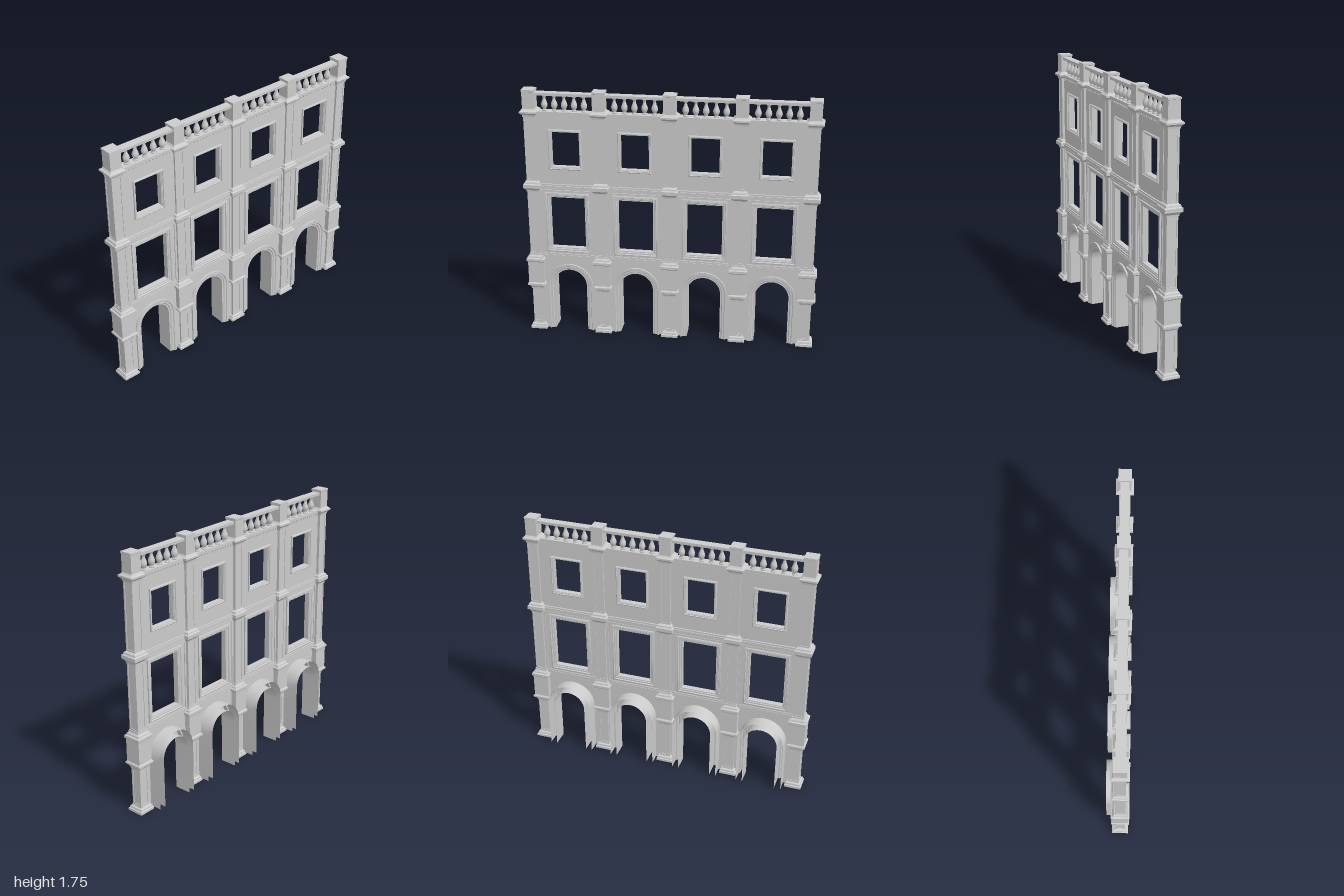
import * as THREE from 'three';
import { toCreasedNormals } from 'three/addons/utils/BufferGeometryUtils.js';

const flat = new THREE.MeshStandardMaterial({ color: 0xcccccc, flatShading: true });
const smooth = new THREE.MeshStandardMaterial({ color: 0xcccccc, side: THREE.DoubleSide });
const BAY = 0.4685, WALL_BACK = 0, WALL_FRONT = 0.034, MID = 0.015;
const SPRING = 0.345;

function add(parent, name, geo, mat = flat, x = 0, y = 0, z = 0) {
  const m = new THREE.Mesh(geo, mat);
  m.name = name;
  m.position.set(x, y, z);
  parent.add(m);
  return m;
}

// Box given by its limits in y and z, centred in x
function bar(parent, name, w, y0, y1, z0, z1, x = 0) {
  return add(parent, name, new THREE.BoxGeometry(w, y1 - y0, z1 - z0), flat, x, (y0 + y1) / 2, (z0 + z1) / 2);
}

// Square-plan solid from a [half width, y] profile
function squareLathe(profile) {
  const pts = profile.map(([h, y]) => new THREE.Vector2(h * Math.SQRT2, y));
  return new THREE.LatheGeometry(pts, 4).rotateY(Math.PI / 4).toNonIndexed();
}

// Moulding: a [offset, z] profile carried round an outline that grows with the offset
function moulding(outline, profile, closed) {
  const rows = profile.map(([o, z]) => outline(o).map(([x, y]) => [x, y, z]));
  const n = rows[0].length, pos = [];
  for (let i = 0; i < rows.length - 1; i++) {
    for (let j = 0; j < (closed ? n : n - 1); j++) {
      const k = (j + 1) % n;
      const a = rows[i][j], b = rows[i][k], c = rows[i + 1][k], d = rows[i + 1][j];
      pos.push(...a, ...d, ...b, ...b, ...d, ...c);
    }
  }
  const g = new THREE.BufferGeometry();
  g.setAttribute('position', new THREE.Float32BufferAttribute(pos, 3));
  g.computeVertexNormals();
  return toCreasedNormals(g, 0.5);
}

const rectOutline = (hw, y0, y1) => o => [[-hw - o, y0 - o], [hw + o, y0 - o], [hw + o, y1 + o], [-hw - o, y1 + o]];

function archOutline(r) {
  const pts = [[r, 0]];
  for (let i = 0; i <= 24; i++) {
    const a = Math.PI * i / 24;
    pts.push([r * Math.cos(a), SPRING + r * Math.sin(a)]);
  }
  pts.push([-r, 0]);
  return pts;
}

const toPath = (pts, Type) => new Type(pts.map(p => new THREE.Vector2(...p)));

function rectFrame(w, h, border, depth) {
  const s = toPath(rectOutline(w / 2, -h / 2, h / 2)(0), THREE.Shape);
  s.holes.push(toPath(rectOutline(w / 2, -h / 2, h / 2)(-border).reverse(), THREE.Path));
  return new THREE.ExtrudeGeometry(s, { depth, bevelEnabled: false });
}

function makePillar() {
  const g = new THREE.Group();
  g.name = 'pillar';
  const C = 0.033;
  add(g, 'pillarBody', squareLathe([
    [0, 0], [0.058, 0], [0.058, 0.016], [0.052, 0.02], [0.05, 0.032], [0.04, 0.038], [0.04, 0.045], [C, 0.045],
    // lower capital and block
    [C, 0.308], [0.04, 0.308], [0.041, 0.32], [0.048, 0.328], [0.05, 0.338], [0.063, 0.344], [0.063, 0.355], [0.055, 0.364],
    [0.055, 0.52], [0.063, 0.528], [0.063, 0.545], [0.053, 0.55], [0.051, 0.56], [0.042, 0.57], [0.041, 0.582], [C, 0.582],
    // middle capital
    [C, 1.04], [0.041, 1.04], [0.042, 1.05], [0.05, 1.06], [0.059, 1.068], [0.059, 1.092], [0.051, 1.098], [0.049, 1.108], [0.041, 1.115], [C, 1.118],
    // upper capital, pedestal and cap
    [C, 1.565], [0.041, 1.565], [0.043, 1.578], [0.05, 1.584], [0.058, 1.592], [0.058, 1.603], [0.047, 1.61], [0.04, 1.62],
    [0.04, 1.733], [0.043, 1.735], [0.043, 1.748], [0, 1.748],
  ]));
  // Raised borders around the sunk panel on every shaft face
  for (const [y0, y1] of [[0.045, 0.308], [0.582, 1.04], [1.118, 1.565]]) {
    const geo = rectFrame(0.074, y1 - y0, 0.011, 0.004).translate(0, 0, C);
    for (let k = 0; k < 4; k++) add(g, 'shaftPanel', geo, flat, 0, (y0 + y1) / 2, 0).rotation.y = k * Math.PI / 2;
  }
  return g;
}

function makeBay() {
  const g = new THREE.Group();
  g.name = 'bay';

  // Wall with the archway cut from below and two window holes
  const h = BAY / 2;
  const wall = toPath([[-h, 0], ...archOutline(0.15).reverse(), [h, 0], [h, 1.6], [-h, 1.6]], THREE.Shape);
  const windows = [[0.12, 0.63, 1.0, 0.033], [0.095, 1.22, 1.463, 0.018]];
  for (const [hw, y0, y1] of windows) wall.holes.push(toPath(rectOutline(hw + 0.004, y0 - 0.004, y1 + 0.004)(0).reverse(), THREE.Path));
  add(g, 'wall', new THREE.ExtrudeGeometry(wall, { depth: WALL_FRONT - WALL_BACK, bevelEnabled: false }), flat, 0, 0, WALL_BACK);

  // Stepped window frames, front and back
  for (const [hw, y0, y1, b] of windows) {
    const front = [[b, 0.03], [b, 0.044], [b * 0.7, 0.047], [b * 0.6, 0.04], [b * 0.3, 0.04], [b * 0.2, 0.036], [0, 0.036]];
    const back = front.map(([o, z]) => [o, WALL_FRONT - z]).reverse();
    add(g, 'windowFrame', moulding(rectOutline(hw, y0, y1), [...front, ...back], true), smooth);
  }

  // Arch surround with deep, open-backed reveals
  add(g, 'archSurround', moulding(archOutline, [
    [0.16, -0.085], [0.16, 0.046], [0.148, 0.046], [0.144, 0.039], [0.13, 0.039], [0.125, 0.033], [0.115, 0.033], [0.115, -0.085],
  ], false), smooth);

  // Thin border round the middle storey
  const border = rectFrame(0.39, 0.48, 0.012, 0.006);
  add(g, 'wallBorder', border, flat, 0, 0.812, WALL_FRONT);
  add(g, 'wallBorder', border, flat, 0, 0.812, WALL_BACK - 0.006);

  // String courses and cornice
  for (const [name, y0, y1, out] of [
    ['lowerCourse', 0.555, 0.572, 0.009],
    ['upperCourse', 1.055, 1.065, 0.008], ['upperCourse', 1.065, 1.085, 0.016], ['upperCourse', 1.085, 1.096, 0.01],
    ['cornice', 1.582, 1.59, 0.009], ['cornice', 1.59, 1.604, 0.014],
  ]) bar(g, name, BAY - 0.06, y0, y1, WALL_BACK - out, WALL_FRONT + out);

  // Dentils under the cornice on both faces
  for (let i = 0; i < 15; i++) bar(g, 'dentil', 0.014, 1.57, 1.583, WALL_BACK - 0.008, WALL_FRONT + 0.008, (i - 7) * 0.0255);

  // Balustrade
  bar(g, 'handrail', BAY - 0.06, 1.71, 1.728, MID - 0.028, MID + 0.028);
  const baluster = new THREE.LatheGeometry([
    [0, 1.603], [0.017, 1.603], [0.017, 1.609], [0.011, 1.613], [0.013, 1.62], [0.02, 1.632], [0.022, 1.645], [0.019, 1.658],
    [0.012, 1.675], [0.009, 1.688], [0.01, 1.696], [0.016, 1.702], [0.016, 1.711],
  ].map(p => new THREE.Vector2(...p)), 12);
  for (let i = -2; i <= 2; i++) add(g, 'baluster', baluster, smooth, i * 0.0665, 0, MID);
  return g;
}

export function createModel() {
  const model = new THREE.Group();
  model.name = 'arcadeFacade';
  const pillar = makePillar(), bay = makeBay();
  for (let i = -2; i <= 2; i++) {
    const p = pillar.clone();
    p.position.set(i * BAY, 0, MID);
    model.add(p);
  }
  for (let i = 0; i < 4; i++) {
    const b = bay.clone();
    b.position.x = (i - 1.5) * BAY;
    model.add(b);
  }
  return model;
}
